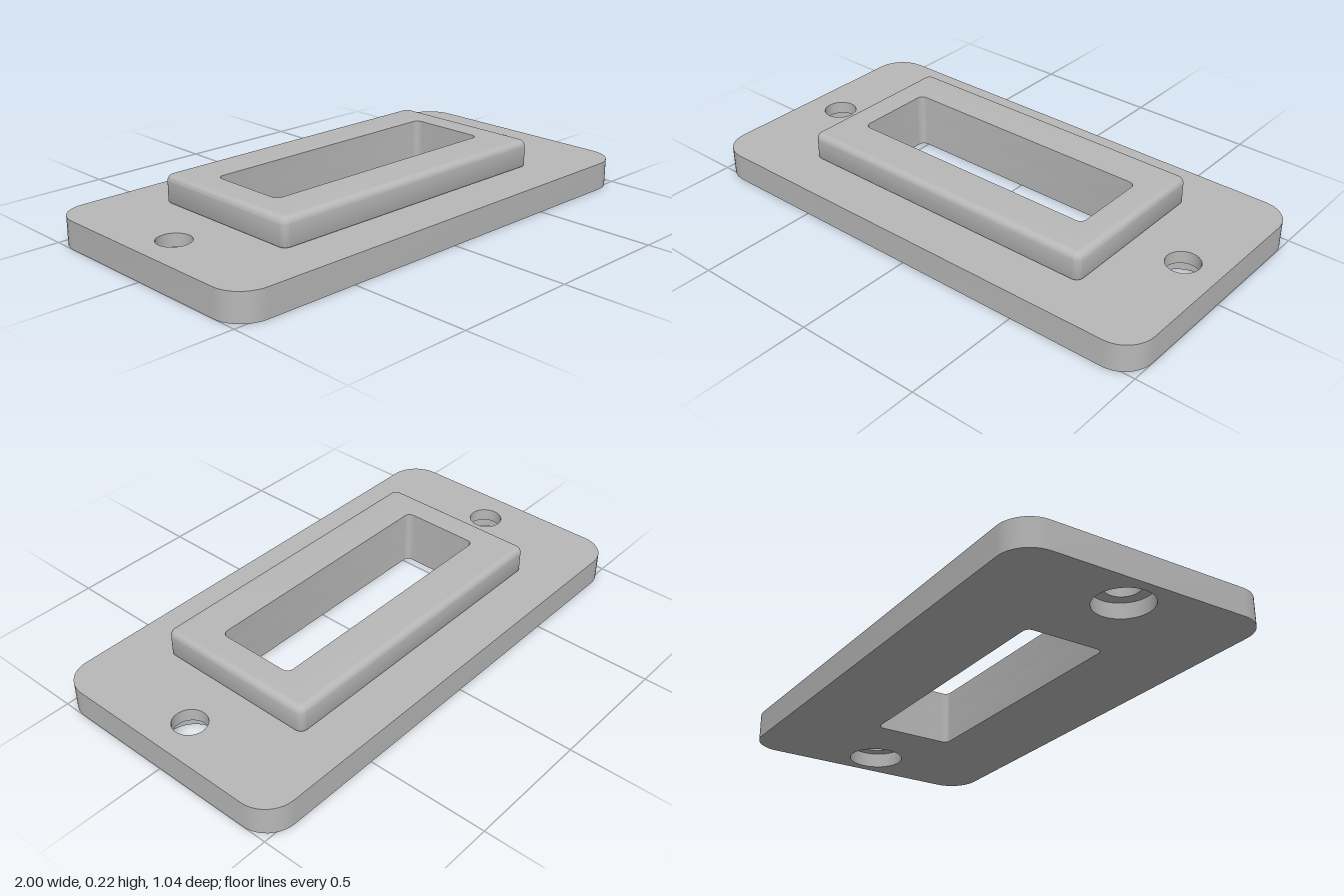
import * as THREE from 'three';
import { mergeGeometries, toCreasedNormals } from 'three/addons/utils/BufferGeometryUtils.js';

const PLATE_TOP = 0.11, COLLAR_TOP = 0.22, BORE_DEPTH = 0.06;
const HOLE_X = 0.85, HOLE_R = 0.065, BORE_R = 0.11;

// Rounded rectangle outline, counter-clockwise seen from above (y of the outline is -z)
function outline(halfX, halfZ, r, steps = 10, cx = 0) {
  const pts = [];
  [[1, 1], [-1, 1], [-1, -1], [1, -1]].forEach(([sx, sy], q) => {
    for (let i = 0; i <= steps; i++) {
      const a = (q + i / steps) * Math.PI / 2;
      pts.push(new THREE.Vector2(
        cx + sx * (halfX - r) + r * Math.cos(a),
        sy * (halfZ - r) + r * Math.sin(a)));
    }
  });
  return pts;
}

const circle = (cx, r) => outline(r, r, r, 10, cx);

// Skin a series of { pts, y } outlines: upwards faces outward, downwards faces inward
function loft(rings) {
  const pos = [];
  const put = (ring, i) => {
    const p = ring.pts[i % ring.pts.length];
    pos.push(p.x, ring.y, -p.y);
  };
  for (let k = 0; k < rings.length - 1; k++) {
    const lo = rings[k], hi = rings[k + 1];
    for (let i = 0; i < lo.pts.length; i++) {
      put(lo, i); put(lo, i + 1); put(hi, i + 1);
      put(lo, i); put(hi, i + 1); put(hi, i);
    }
  }
  const g = new THREE.BufferGeometry();
  g.setAttribute('position', new THREE.Float32BufferAttribute(pos, 3));
  return g;
}

// Flat horizontal face with holes, facing up or down
function face(outer, holes, y, up) {
  const shape = new THREE.Shape(outer);
  shape.holes = holes.map(h => new THREE.Path(h));
  const g = new THREE.ShapeGeometry(shape).toNonIndexed();
  g.deleteAttribute('uv');
  g.deleteAttribute('normal');
  g.rotateX(up ? -Math.PI / 2 : Math.PI / 2);
  return g.translate(0, y, 0);
}

export function createModel() {
  const model = new THREE.Group();
  model.name = 'mountingBezel';
  const grey = new THREE.MeshStandardMaterial({ color: 0xb8b8b8 });
  grey.name = 'grey';

  const add = (name, parts) => {
    const mesh = new THREE.Mesh(toCreasedNormals(mergeGeometries(parts), 0.5), grey);
    mesh.name = name;
    model.add(mesh);
  };

  const plateEdge = outline(1, 0.52, 0.12);
  const opening = outline(0.53, 0.163, 0.025);

  // Base plate with rectangular opening and two holes counterbored from below
  const sides = [-HOLE_X, HOLE_X];
  add('basePlate', [
    loft([{ pts: plateEdge, y: 0 }, { pts: plateEdge, y: PLATE_TOP }]),
    loft([{ pts: opening, y: PLATE_TOP }, { pts: opening, y: 0 }]),
    face(plateEdge, [opening, ...sides.map(x => circle(x, HOLE_R))], PLATE_TOP, true),
    face(plateEdge, [opening, ...sides.map(x => circle(x, BORE_R))], 0, false),
    ...sides.map(x => loft([
      { pts: circle(x, HOLE_R), y: PLATE_TOP },
      { pts: circle(x, HOLE_R), y: BORE_DEPTH },
      { pts: circle(x, BORE_R), y: BORE_DEPTH },
      { pts: circle(x, BORE_R), y: 0 },
    ])),
  ]);

  // Raised collar: rounded outer edges, flat rim, straight inner wall
  const rings = [];
  const addRing = (inset, y) => rings.push({
    pts: outline(0.645 - inset, 0.332 - inset, 0.032 - inset), y });
  const steps = 6, footR = 0.01, rimR = 0.026;
  for (let i = 0; i <= steps; i++) {
    const a = i / steps * Math.PI / 2;
    addRing(footR * (1 - Math.sin(a)), PLATE_TOP + footR * (1 - Math.cos(a)));
  }
  for (let i = 0; i <= steps; i++) {
    const a = i / steps * Math.PI / 2;
    addRing(rimR * (1 - Math.cos(a)), COLLAR_TOP - rimR * (1 - Math.sin(a)));
  }
  rings.push({ pts: opening, y: COLLAR_TOP }, { pts: opening, y: PLATE_TOP });
  add('raisedCollar', [loft(rings)]);

  return model;
}
